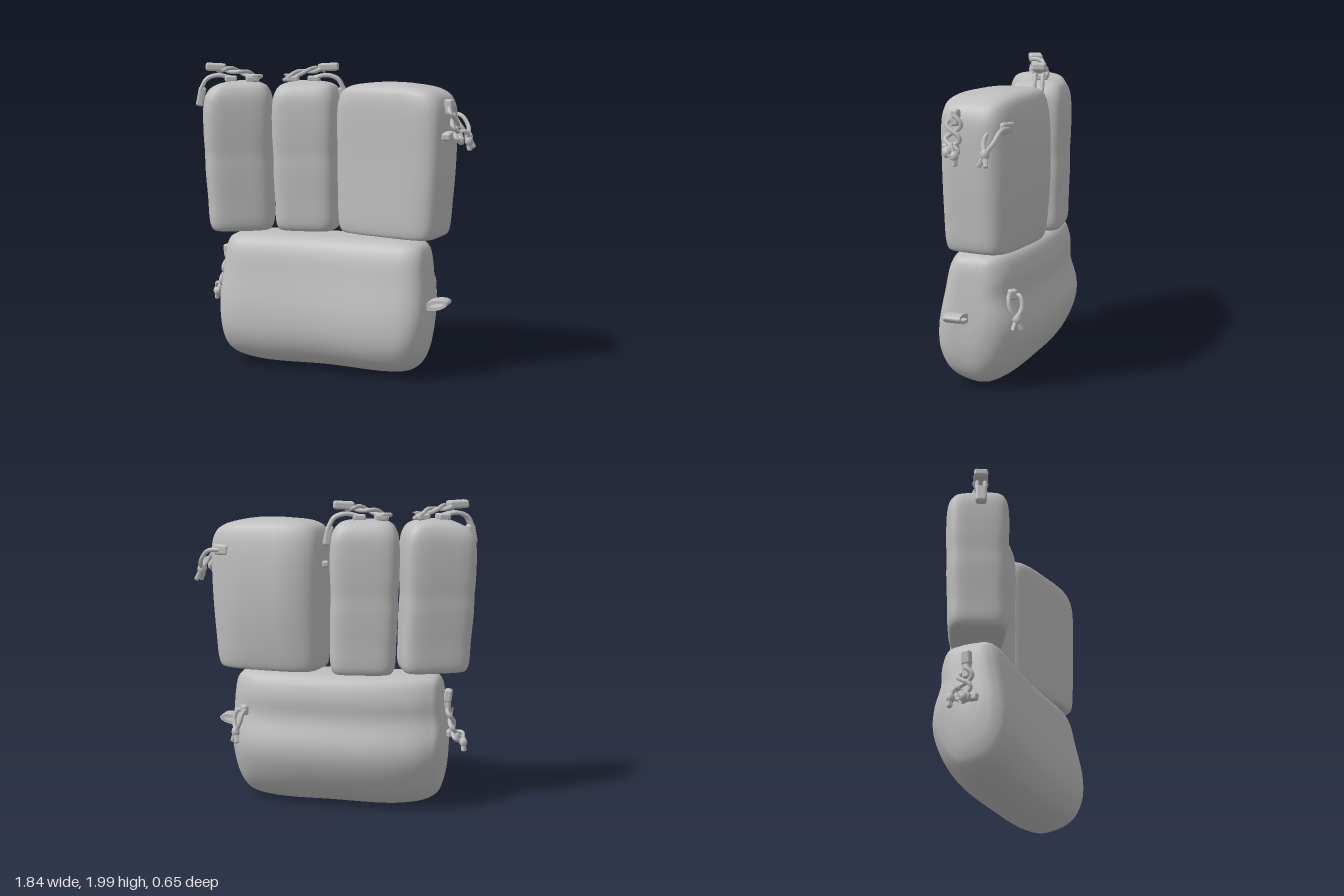
import * as THREE from 'three';
import { RoundedBoxGeometry } from 'three/addons/geometries/RoundedBoxGeometry.js';

const V = (x, y, z) => new THREE.Vector3(x, y, z);
const { lerp, smoothstep } = THREE.MathUtils;
const fabric = new THREE.MeshStandardMaterial({ color: 0xbebebe });
fabric.name = 'light grey fabric';

function add(parent, name, geometry) {
  const m = new THREE.Mesh(geometry, fabric);
  m.name = name;
  parent.add(m);
  return m;
}

// Closed smooth skin through equal-length rings, capped at both ends
function skin(rings) {
  const n = rings[0].length, pts = rings.flat(), idx = [];
  for (let i = 0; i < rings.length - 1; i++)
    for (let j = 0; j < n; j++) {
      const a = i * n + j, b = i * n + (j + 1) % n;
      idx.push(a, a + n, b, b, a + n, b + n);
    }
  [0, rings.length - 1].forEach((r, end) => {
    const c = V(0, 0, 0);
    rings[r].forEach(p => c.addScaledVector(p, 1 / n));
    const k = pts.push(c) - 1;
    for (let j = 0; j < n; j++) {
      const a = r * n + j, b = r * n + (j + 1) % n;
      end ? idx.push(a, k, b) : idx.push(a, b, k);
    }
  });
  // keep the faces pointing outwards
  let volume = 0;
  for (let i = 0; i < idx.length; i += 3)
    volume += pts[idx[i]].dot(pts[idx[i + 1]].clone().cross(pts[idx[i + 2]]));
  if (volume < 0) idx.reverse();
  const g = new THREE.BufferGeometry().setFromPoints(pts);
  g.setIndex(idx);
  g.computeVertexNormals();
  return g;
}

// Upright pouch: rounded four-corner footprint [x, z], scaled up the height
function pouch(corners, profile, warp) {
  const [bl, br, fr, fl] = corners;
  const cx = (bl[0] + br[0] + fr[0] + fl[0]) / 4, cz = (bl[1] + br[1] + fr[1] + fl[1]) / 4;
  const curve = new THREE.CatmullRomCurve3(profile.map(([y, s]) => V(s, y, 0)), false, 'centripetal');
  const soft = t => Math.sign(t) * Math.abs(t) ** 0.42;
  const rings = curve.getPoints(48).map(({ x: s, y }) => {
    const ring = [];
    for (let j = 0; j < 48; j++) {
      const a = (j + 0.5) / 48 * Math.PI * 2;
      const u = (soft(Math.cos(a)) + 1) / 2, v = (soft(Math.sin(a)) + 1) / 2;
      const x = lerp(lerp(bl[0], br[0], u), lerp(fl[0], fr[0], u), v);
      const z = lerp(lerp(bl[1], br[1], u), lerp(fl[1], fr[1], u), v);
      const p = V(cx + (x - cx) * s, y, cz + (z - cz) * s);
      warp(p);
      ring.push(p);
    }
    return ring;
  });
  return skin(rings);
}

// Long lower pouch: a bulging side section swept along x, bowed back in the middle
function lowerPouch() {
  const section = new THREE.CatmullRomCurve3([
    [0.05, 0.885], [0.16, 0.87], [0.215, 0.8], [0.26, 0.62], [0.315, 0.35], [0.3, 0.19], [0.22, 0.07], [0.08, 0.015],
    [-0.06, 0.015], [-0.19, 0.12], [-0.29, 0.31], [-0.3, 0.43], [-0.25, 0.6], [-0.25, 0.74], [-0.2, 0.86], [-0.08, 0.885],
  ].map(([z, y]) => V(0, y, z)), true, 'centripetal').getPoints(63).slice(0, 63);
  // x, height scale, depth scale
  const path = new THREE.CatmullRomCurve3([
    [-0.755, 0.25, 0.2], [-0.75, 0.55, 0.42], [-0.73, 0.78, 0.62], [-0.69, 0.9, 0.76], [-0.6, 0.965, 0.88],
    [-0.42, 1, 0.95], [0, 0.995, 0.96], [0.36, 1, 0.95], [0.52, 0.975, 0.88], [0.59, 0.92, 0.79],
    [0.64, 0.81, 0.65], [0.67, 0.6, 0.45], [0.677, 0.25, 0.2],
  ].map(p => V(...p)), false, 'centripetal');
  return skin(path.getPoints(60).map(s => section.map(p => {
    const shift = -0.01 + 0.055 * Math.min(1, s.x * s.x * 2.2);
    const y = 0.45 + (p.y - 0.45) * s.y + 0.3 * (1 - s.y) * s.y;
    return V(s.x * (1 - 0.035 * smoothstep(y, 0.4, 0.85)), y, p.z * s.z + shift);
  })));
}

function cord(parent, points, r = 0.012) {
  const c = new THREE.CatmullRomCurve3(points.map(p => V(...p)));
  add(parent, 'cord', new THREE.TubeGeometry(c, points.length * 6, r, 7));
}

// Two cords twisting round each other along a path
function braid(parent, points, turns, width) {
  const c = new THREE.CatmullRomCurve3(points.map(p => V(...p)));
  const d = c.getPoint(1).sub(c.getPoint(0));
  const side = V(-d.z, 0, d.x);
  if (side.length() < 0.12) side.set(0, 0, 1);
  side.normalize();
  const out = d.clone().cross(side).normalize();
  for (const sign of [-1, 1]) {
    const pts = [];
    for (let i = 0; i <= 28; i++) {
      const a = i / 28 * Math.PI * turns;
      pts.push(c.getPoint(i / 28).addScaledVector(side, sign * Math.sin(a) * width)
        .addScaledVector(out, sign * Math.cos(a) * 0.012).toArray());
    }
    cord(parent, pts, 0.014);
  }
}

// Box with its length along the line from a to b
function bar(parent, name, a, b, w, h) {
  const p = V(...a), q = V(...b);
  const m = add(parent, name, new RoundedBoxGeometry(w, h, p.distanceTo(q), 2, Math.min(w, h) * 0.3));
  m.position.copy(p).lerp(q, 0.5);
  m.lookAt(q);
}

function knot(parent, x, y, z, r = 0.022) {
  const m = add(parent, 'knot', new THREE.SphereGeometry(r, 10, 8));
  m.position.set(x, y, z);
  m.scale.y = 1.25;
}

// Drawcord and toggles on top of a slim pouch; (dx, dz) points to the toggle end
function topDrawcord(parent, x, z, dx, dz) {
  const g = new THREE.Group();
  g.name = 'topDrawcord';
  const at = (t, y, s = 0) => [x + dx * t - dz * s, y, z + dz * t + dx * s];
  for (const t of [-0.1, 0.04]) bar(g, 'cordGuide', at(t, 1.892, -0.05), at(t, 1.892, 0.05), 0.08, 0.04);
  braid(g, [at(-0.16, 1.895), at(-0.07, 1.925), at(0.04, 1.95), at(0.12, 1.955)], 3, 0.038);
  bar(g, 'toggle', at(0.07, 1.965), at(0.205, 1.972), 0.09, 0.052);
  for (const s of [-0.025, 0.025])
    cord(g, [at(0.04, 1.9, s), at(0.13, 1.915, s), at(0.2, 1.89, s), at(0.24, 1.82, s)], 0.014);
  bar(g, 'hangingToggle', at(0.225, 1.84), at(0.25, 1.715), 0.07, 0.05);
  parent.add(g);
}

// Side cord chain hanging from a guide; s is the outward x direction
function sideChain(parent, x, y, z, s) {
  const g = new THREE.Group();
  g.name = 'sideChain';
  const at = (o, d, e = 0) => [x + s * o, y + d, z + e];
  bar(g, 'upperGuide', at(0, 0.04), at(0, -0.06), 0.055, 0.05);
  bar(g, 'lowerGuide', at(0.005, -0.18, -0.02), at(0.005, -0.19, 0.08), 0.06, 0.05);
  braid(g, [at(0.015, 0), at(0.035, -0.09), at(0.055, -0.17), at(0.08, -0.23)], 3, 0.045);
  knot(g, ...at(0.07, -0.19), 0.026);
  cord(g, [at(0.06, -0.16), at(0.11, -0.16, -0.02), at(0.12, -0.2, -0.04), at(0.12, -0.25, -0.05)]);
  cord(g, [at(0.05, -0.17), at(0.07, -0.2, 0.03), at(0.09, -0.23, 0)]);
  knot(g, ...at(0.12, -0.22, -0.045), 0.026);
  knot(g, ...at(0.085, -0.21, 0.02), 0.024);
  bar(g, 'cordEnd', at(0.12, -0.22, -0.045), at(0.125, -0.28, -0.05), 0.03, 0.03);
  parent.add(g);
}

// Small knotted loop hanging from a tab; (dx, dz) leads along the fall
function backLoop(parent, x, y, z, dx, dz) {
  const g = new THREE.Group();
  g.name = 'backLoop';
  const l = Math.hypot(dx, dz);
  const at = (t, d, k = 0) => [x + dx * t - dz / l * k, y + d, z + dz * t + dx / l * k];
  bar(g, 'tab', at(-0.05, 0.01), at(0.05, 0.01), 0.06, 0.07);
  for (const k of [-0.04, 0.04])
    cord(g, [at(0, 0.01, k / 2), at(0.08, 0, k), at(0.13, -0.06, k), at(0.16, -0.13)], 0.014);
  knot(g, ...at(0.16, -0.13), 0.028);
  for (const k of [-0.03, 0.03]) bar(g, 'cordEnd', at(0.16, -0.13), at(0.18, -0.2, k), 0.028, 0.028);
  parent.add(g);
}

export function createModel() {
  const model = new THREE.Group();
  model.name = 'pouchSet';

  // Slim upper pouches with a soft crease at mid height and a narrower foot
  const slim = [[0.9, 0.3], [0.9, 0.75], [0.915, 0.88], [0.96, 0.94], [1.1, 0.955], [1.3, 0.98], [1.4, 0.97],
    [1.52, 0.995], [1.68, 1.0], [1.77, 0.965], [1.83, 0.86], [1.86, 0.7], [1.88, 0.3]];
  add(model, 'rightPouch', pouch([[-0.96, 0.0], [-0.52, -0.2], [-0.39, 0.13], [-0.77, 0.36]], slim, p => {
    p.x += 0.02 * (1 - smoothstep(p.y, 0.9, 1.5));
    p.y -= 0.03 * smoothstep(p.y, 1.6, 1.88) * smoothstep(-p.x, 0.65, 0.92);
  }));
  add(model, 'middlePouch', pouch([[-0.48, -0.24], [-0.04, -0.31], [0.015, 0.07], [-0.41, 0.15]], slim, p => {
    p.x += 0.01 * (1 - smoothstep(p.y, 0.9, 1.5));
  }));

  // Wide upper pouch, fuller at the back and sloping down at the outer top
  const wide = [[0.905, 0.3], [0.905, 0.82], [0.92, 0.92], [0.97, 0.96], [1.15, 0.98], [1.45, 0.99],
    [1.68, 0.995], [1.77, 0.97], [1.83, 0.91], [1.865, 0.78], [1.885, 0.3]];
  add(model, 'leftPouch', pouch([[0.05, -0.28], [0.8, -0.21], [0.75, 0.24], [-0.01, 0.07]], wide, p => {
    const u = p.x / 0.78, back = Math.max(0, (0.2 - p.z) / 0.46);
    const bulge = Math.sin(Math.PI * (p.y - 0.9));
    p.z -= 0.075 * back * Math.sin(Math.PI * u) * (0.25 + 0.75 * bulge);
    p.y -= smoothstep(p.y, 1.6, 1.88) * (0.05 * u ** 4 + 0.02 * (1 - u) ** 4);
    p.x -= 0.025 * u * (1 - smoothstep(p.y, 0.9, 1.5));
  }));

  add(model, 'lowerPouch', lowerPouch());

  // Cords and fittings
  topDrawcord(model, -0.66, 0.09, -0.88, 0.45);
  topDrawcord(model, -0.23, -0.09, 0.95, -0.28);
  bar(model, 'sideTab', [-0.01, 1.6, -0.17], [0.03, 1.6, -0.18], 0.05, 0.04);
  sideChain(model, 0.775, 1.75, 0.07, 1);
  sideChain(model, -0.745, 0.66, 0.06, -1);
  bar(model, 'sideTab', [-0.76, 0.78, 0.06], [-0.75, 0.69, 0.06], 0.06, 0.05);
  backLoop(model, 0.68, 1.67, -0.21, 1.05, 0.4);
  backLoop(model, 0.55, 0.62, -0.2, 0.3, -0.3);

  // Flat pull loop on the end of the lower pouch
  const strap = new THREE.Shape().absellipse(0.725, 0.495, 0.08, 0.032, 0, Math.PI * 2, false, 0.2);
  strap.holes.push(new THREE.Path().absellipse(0.735, 0.497, 0.05, 0.01, 0, Math.PI * 2, true, 0.2));
  add(model, 'pullLoop', new THREE.ExtrudeGeometry(strap, { depth: 0.11, bevelEnabled: false, curveSegments: 24 }))
    .position.z = 0.045;
  return model;
}
